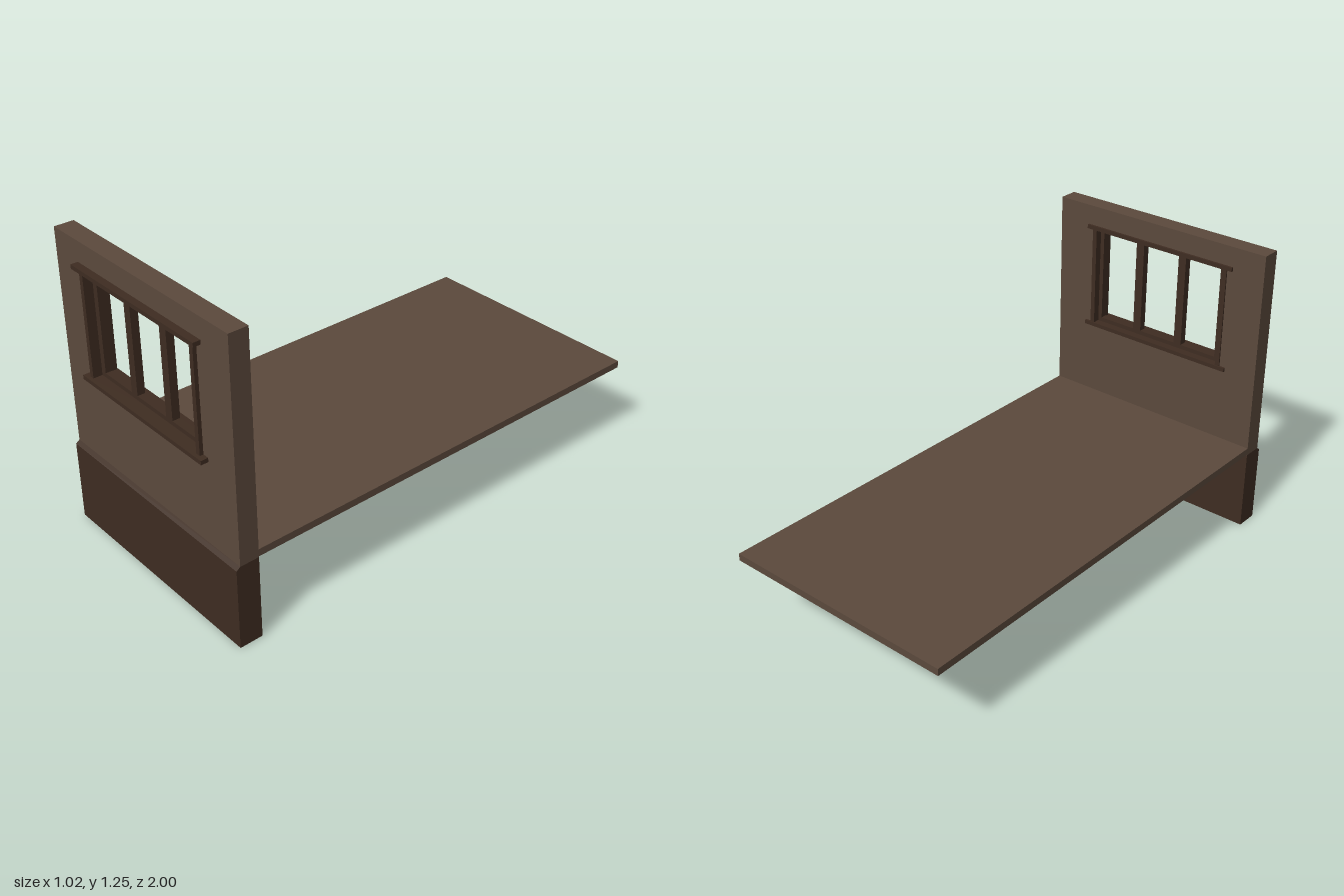
import * as THREE from 'three';

export function createModel() {
  const group = new THREE.Group();
  const plaster = new THREE.MeshStandardMaterial({ color: 0x5c4a3d, flatShading: true });
  const timber = new THREE.MeshStandardMaterial({ color: 0x3f2d22, flatShading: true });

  const add = (name, geometry, material) => {
    const mesh = new THREE.Mesh(geometry, material);
    mesh.name = name;
    group.add(mesh);
    return mesh;
  };
  // Box given by its limits on each axis
  const box = (name, material, [x0, x1], [y0, y1], [z0, z1]) =>
    add(name, new THREE.BoxGeometry(x1 - x0, y1 - y0, z1 - z0), material)
      .position.set((x0 + x1) / 2, (y0 + y1) / 2, (z0 + z1) / 2);
  const rect = (target, x0, x1, y0, y1) => {
    target.moveTo(x0, y0);
    target.lineTo(x1, y0);
    target.lineTo(x1, y1);
    target.lineTo(x0, y1);
    target.closePath();
    return target;
  };
  const panel = (shape, z0, z1) =>
    new THREE.ExtrudeGeometry(shape, { depth: z1 - z0, bevelEnabled: false }).translate(0, 0, z0);

  const W = 0.51, back = 0.89, front = 0.97;

  // Wall with the window opening
  const wall = rect(new THREE.Shape(), -W, W, 0.35, 1.25);
  wall.holes.push(rect(new THREE.Path(), -0.33, 0.325, 0.71, 1.157));
  add('wall', panel(wall, back, front), plaster);

  // Plinth with a small slope along its top front edge
  const plinth = new THREE.Shape([[back, 0], [0.986, 0], [0.986, 0.338], [front, 0.35], [back, 0.35]]
    .map(([z, y]) => new THREE.Vector2(-z, y)));
  const plinthGeometry = new THREE.ExtrudeGeometry(plinth, { depth: 2 * W, bevelEnabled: false });
  plinthGeometry.rotateY(Math.PI / 2).translate(-W, 0, 0);
  add('plinth', plinthGeometry, timber);

  // Floor slab running back from the wall
  box('floor', plaster, [-W, W], [0.353, 0.383], [-1, back]);

  // Window sill and head, reaching through the wall
  for (const [name, y] of [['windowSill', 0.7], ['windowHead', 1.148]])
    box(name, timber, [-0.366, 0.361], [y, y + 0.017], [0.88, 1]);

  // Window jambs
  for (const [name, x] of [['rightJamb', -0.34], ['leftJamb', 0.315]])
    box(name, timber, [x, x + 0.02], [0.717, 1.148], [0.884, 0.985]);

  // Recessed sash with three open lights
  const sash = rect(new THREE.Shape(), -0.32, 0.315, 0.717, 1.148);
  for (const [x0, x1] of [[-0.295, -0.125], [-0.089, 0.087], [0.125, 0.297]])
    sash.holes.push(rect(new THREE.Path(), x0, x1, 0.735, 1.13));
  add('windowSash', panel(sash, 0.915, 0.947), timber);

  return group;
}
